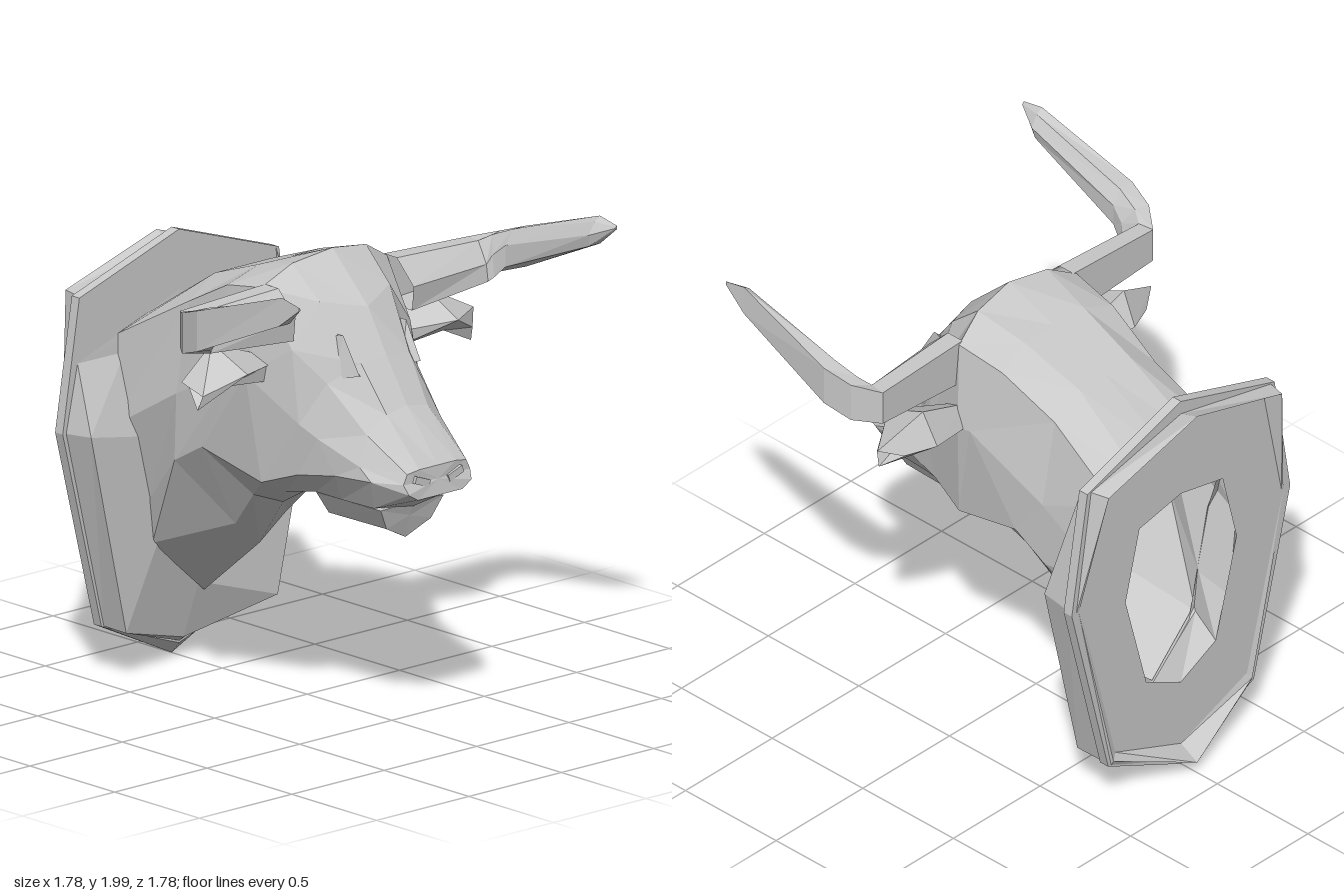
import * as THREE from 'three';

const grey = new THREE.MeshStandardMaterial({ color: 0xc8c8c8, flatShading: true, side: THREE.DoubleSide });
grey.name = 'plain grey';

// Skin a list of closed rings of [x, y, z] points, optionally capping the ends
function loft(name, rings, capStart = false, capEnd = false) {
  const n = rings[0].length;
  const pos = rings.flat(2);
  const index = [];
  for (let r = 0; r < rings.length - 1; r++) {
    for (let i = 0; i < n; i++) {
      const j = (i + 1) % n, a = r * n, b = a + n;
      index.push(a + i, b + i, b + j, a + i, b + j, a + j);
    }
  }
  const cap = (r, end) => {
    const c = pos.length / 3;
    for (let k = 0; k < 3; k++) pos.push(rings[r].reduce((s, p) => s + p[k], 0) / n);
    for (let i = 0; i < n; i++) {
      const j = (i + 1) % n;
      index.push(c, r * n + (end ? j : i), r * n + (end ? i : j));
    }
  };
  if (capStart) cap(0, false);
  if (capEnd) cap(rings.length - 1, true);
  let geo = new THREE.BufferGeometry();
  geo.setAttribute('position', new THREE.Float32BufferAttribute(pos, 3));
  geo.setIndex(index);
  geo = geo.toNonIndexed();
  geo.computeVertexNormals();
  const mesh = new THREE.Mesh(geo, grey);
  mesh.name = name;
  return mesh;
}

// Complete a half ring (top centre to bottom centre) with its mirror image
const mirrorRing = half => [...half, ...half.slice(1, -1).reverse().map(([x, y, z]) => [-x, y, z])];

// Put the rings of a side part on the left (+1) or right (-1)
const sideRings = (rings, side) => rings.map(ring => {
  const pts = ring.map(([x, y, z]) => [x * side, y, z]);
  return side > 0 ? pts.reverse() : pts;
});

export function createModel() {
  const model = new THREE.Group();
  model.name = 'mountedBullHead';

  // Hollow neck, from the opening in the wall to the throat
  const neck = [
    [[0, 1.32, -.80], [.14, 1.30, -.80], [.24, 1.27, -.80], [.32, .95, -.80], [.28, .68, -.80], [.20, .50, -.80], [0, .40, -.80]],
    [[0, 1.47, -.76], [.18, 1.45, -.76], [.33, 1.40, -.76], [.36, 1.02, -.76], [.27, .72, -.64], [.25, .54, -.64], [.03, .29, -.64]],
    [[0, 1.70, -.38], [.15, 1.70, -.38], [.29, 1.61, -.38], [.36, 1.24, -.38], [.36, .96, -.39], [.14, .68, -.27], [0, .57, -.28]],
    [[0, 1.80, -.10], [.17, 1.80, -.10], [.32, 1.74, -.12], [.385, 1.43, 0], [.36, 1.05, -.23], [.18, .84, -.12], [0, .77, -.14]],
    [[0, 1.89, .15], [.20, 1.86, .13], [.34, 1.78, .10], [.39, 1.42, .06], [.34, .97, .10], [.17, .89, .06], [0, .85, 0]],
  ];
  // Face, from the crown to the nose
  const face = [
    neck[4],
    [[0, 1.69, .36], [.19, 1.73, .28], [.32, 1.55, .26], [.32, 1.25, .30], [.30, 1.03, .27], [.20, .94, .27], [0, .88, .27]],
    [[0, 1.51, .47], [.13, 1.50, .46], [.24, 1.42, .38], [.29, 1.20, .38], [.27, 1.06, .46], [.20, .94, .42], [0, .92, .42]],
    [[0, 1.33, .59], [.11, 1.31, .59], [.20, 1.24, .57], [.25, 1.12, .58], [.25, 1.07, .65], [.19, .94, .60], [0, .92, .63]],
    [[0, 1.12, .77], [.10, 1.12, .77], [.16, 1.11, .765], [.18, 1.07, .765], [.17, 1.03, .785], [.12, 1.0, .785], [0, 1.0, .785]],
  ];
  model.add(loft('neck', neck.map(mirrorRing)));
  model.add(loft('face', face.map(mirrorRing), false, true));

  // Lower jaw below the muzzle, with sloping sides
  const jaw = [
    [[0, .93, .25], [.18, .93, .25], [.13, .84, .27], [0, .80, .28]],
    [[0, .94, .63], [.17, .93, .62], [.12, .84, .60], [0, .78, .58]],
  ];
  model.add(loft('lowerJaw', jaw.map(mirrorRing), true, true));

  // Wall plaque: flat back with a low rim at top and bottom, wide board, bevelled front slab
  const outline = (s, z, top, bottom) =>
    [[0, top, z], [.54 * s, 1.59, z], [.63 * s, 1.04, z], [.42 * s, .2, z], [0, bottom, z]];
  const plaque = [
    [[0, 1.32, -.80], [.24, 1.27, -.80], [.32, .95, -.80], [.20, .50, -.80], [0, .40, -.80]],
    [[0, 1.69, -.80], [.48, 1.54, -.80], [.58, 1.04, -.80], [.38, .25, -.80], [0, .10, -.80]],
    [[0, 1.74, -.89], [.50, 1.59, -.88], [.59, 1.04, -.80], [.40, .22, -.81], [0, .05, -.89]],
    outline(.96, -.80, 1.71, .02),
    outline(1, -.80, 1.77, 0),
    outline(1, -.755, 1.77, .05),
    outline(.97, -.755, 1.70, .06),
    [[0, 1.52, -.755], [.55, 1.32, -.755], [.60, 1.05, -.62], [.41, .2, -.62], [0, .08, -.73]],
    [[0, 1.44, -.75], [.30, 1.32, -.75], [.33, 1.0, -.63], [.23, .54, -.63], [0, .33, -.64]],
  ];
  model.add(loft('wallPlaque', plaque.map(mirrorRing)));

  // Horns: out sideways, then bent forward and up to a point
  const horn = [
    [[.32, 1.79, .10], [.32, 1.79, .18], [.32, 1.69, .28], [.32, 1.59, .27], [.32, 1.59, .10]],
    [[.78, 1.77, .10], [.77, 1.77, .17], [.75, 1.69, .24], [.75, 1.62, .25], [.78, 1.62, .10]],
    [[.86, 1.80, .20], [.80, 1.80, .22], [.765, 1.73, .26], [.765, 1.64, .27], [.86, 1.63, .20]],
    [[.89, 1.84, .32], [.82, 1.84, .32], [.78, 1.78, .32], [.78, 1.69, .32], [.89, 1.67, .32]],
    [[.86, 1.99, .79], [.83, 1.97, .79], [.80, 1.92, .79], [.81, 1.87, .78], [.87, 1.87, .78]],
    [[.86, 1.97, .89], [.855, 1.965, .89], [.85, 1.96, .89], [.855, 1.955, .89], [.86, 1.955, .89]],
  ];
  // Ears: leaf shapes with a split open end
  const ear = [
    [[.34, 1.50, .08], [.34, 1.47, .15], [.34, 1.40, .14], [.34, 1.42, .04]],
    [[.58, 1.59, .07], [.57, 1.50, .27], [.59, 1.43, .16], [.57, 1.45, 0]],
    [[.79, 1.48, .12], [.73, 1.42, .18], [.74, 1.36, .16], [.70, 1.44, .06]],
  ];
  // Brow ridges over the eyes
  const brow = [
    [[.17, 1.61, .33], [.17, 1.61, .40], [.18, 1.60, .33]],
    [[.11, 1.44, .44], [.165, 1.46, .49], [.21, 1.43, .38]],
  ];
  for (const [side, label] of [[1, 'left'], [-1, 'right']]) {
    model.add(loft(label + 'Horn', sideRings(horn, side), false, true));
    model.add(loft(label + 'Ear', sideRings(ear, side)));
    model.add(loft(label + 'Brow', sideRings(brow, side), false, true));

    // Nostril
    const nostril = new THREE.Mesh(new THREE.BoxGeometry(.08, .03, .02), grey);
    nostril.name = label + 'Nostril';
    nostril.position.set(side * .09, 1.07, .772);
    nostril.rotation.z = side * .35;
    model.add(nostril);
  }
  return model;
}
